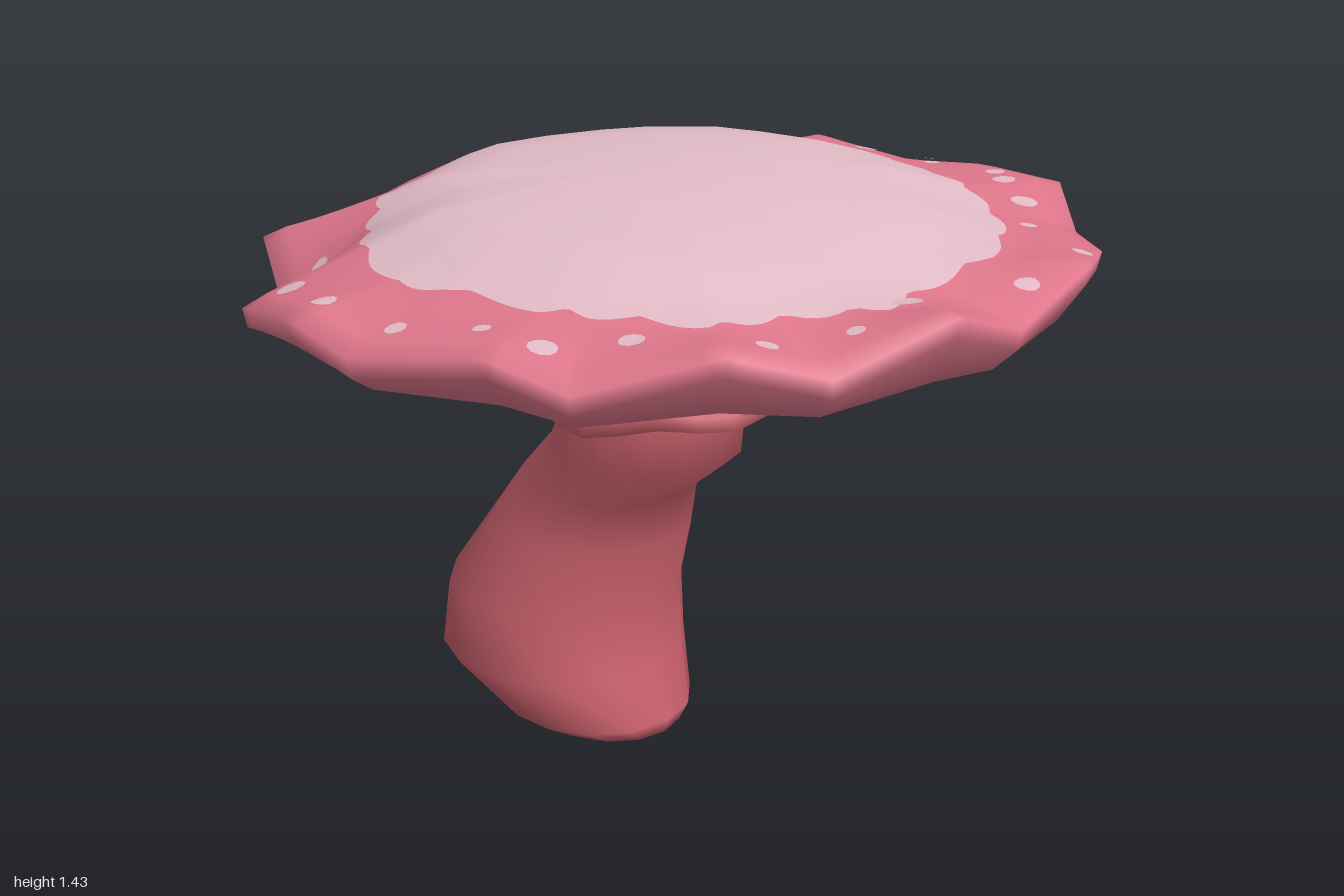
import * as THREE from 'three';

const stemPink = new THREE.MeshStandardMaterial({ color: 0xc9606b });
stemPink.name = 'stem pink';
const capPink = new THREE.MeshStandardMaterial({ color: 0xe0778c });
capPink.name = 'cap pink';
const palePink = new THREE.MeshStandardMaterial({ color: 0xe3bcc7 });
palePink.name = 'pale pink';

// Cap rim corners, clockwise from the back: x, height, z, where the pale centre ends
const RIM = [
  [0, 1.14, -1, 0.66], [0.24, 1.18, -0.93, 0.69], [0.47, 1.14, -0.82, 0.71], [0.65, 1.23, -0.7, 0.73],
  [0.85, 1.19, -0.47, 0.73], [0.92, 1.26, -0.27, 0.74], [0.98, 1.22, 0, 0.74], [0.92, 1.28, 0.26, 0.75],
  [0.86, 1.3, 0.49, 0.74], [0.66, 1.26, 0.67, 0.79], [0.5, 1.29, 0.84, 0.78], [0.3, 1.33, 0.94, 0.77],
  [0, 1.27, 0.97, 0.77], [-0.25, 1.37, 0.99, 0.77], [-0.48, 1.27, 0.86, 0.76], [-0.67, 1.34, 0.74, 0.76],
  [-0.85, 1.25, 0.5, 0.73], [-0.91, 1.3, 0.33, 0.73], [-0.98, 1.24, 0, 0.72], [-0.96, 1.27, -0.2, 0.75],
  [-0.85, 1.2, -0.49, 0.72], [-0.6, 1.07, -0.65, 0.77], [-0.49, 1.2, -0.85, 0.69], [-0.26, 1.15, -0.91, 0.69],
];
const SUB = 8;
const lerp = THREE.MathUtils.lerp;

// Rim values at a fractional corner index
function rimAt(u) {
  const i = Math.floor(u) % RIM.length;
  const a = RIM[i], b = RIM[(i + 1) % RIM.length];
  return a.map((v, k) => lerp(v, b[k], u - Math.floor(u)));
}

// Height of the cap's upper surface at fraction f of the way to the rim
function topHeight(f, rim) {
  const edge = 1.3 + 0.02 * rim[2];
  const knots = [[0, 1.43], [0.3, 1.416], [0.55, 1.38], [0.78, edge], [0.94, lerp(edge, rim[1], 0.8) + 0.012], [1, rim[1]]];
  for (let i = 1; i < knots.length; i++) {
    const [f0, y0] = knots[i - 1], [f1, y1] = knots[i];
    if (f <= f1) return lerp(y0, y1, (f - f0) / (f1 - f0));
  }
  return rim[1];
}

// Skin a list of closed rings, top to bottom; bands may carry different materials
function loft(rings, bandMaterial) {
  const n = rings[0].length, index = [];
  const geo = new THREE.BufferGeometry();
  geo.setAttribute('position', new THREE.Float32BufferAttribute(rings.flat(2), 3));
  for (let i = 0; i < rings.length - 1; i++) {
    for (let j = 0; j < n; j++) {
      const a = i * n + j, b = i * n + (j + 1) % n;
      index.push(a, b, a + n, b, b + n, a + n);
    }
    if (bandMaterial) geo.addGroup(i * n * 6, n * 6, bandMaterial(i));
  }
  geo.setIndex(index);
  geo.computeVertexNormals();
  return geo;
}

function ring(n, fn) {
  return Array.from({ length: n }, (_, j) => fn(j));
}

function oval(n, y, cx, rx, cz, rz) {
  return ring(n, (j) => {
    const t = (j / n) * Math.PI * 2;
    return [cx + rx * Math.sin(t), typeof y === 'function' ? y(t) : y, cz - rz * Math.cos(t)];
  });
}

function makeCap() {
  const n = RIM.length * SUB;
  const top = (fraction) => ring(n, (j) => {
    const r = rimAt(j / SUB), f = fraction(r, j);
    return [r[0] * f, topHeight(f, r), r[2] * f];
  });
  const under = (f, height) => ring(n, (j) => {
    const r = rimAt(j / SUB);
    return [r[0] * f, height(r[1]), r[2] * f];
  });
  const rings = [
    top(() => 0), top(() => 0.15), top(() => 0.3), top(() => 0.45), top(() => 0.55), top(() => 0.64),
    // scalloped edge of the pale centre
    top((r, j) => r[3] - 0.012 + 0.026 * Math.abs(Math.sin(j * 0.42 + Math.sin(j * 0.11)))),
    top(() => 0.86), top(() => 0.94), top(() => 1),
    // underside
    under(0.99, (y) => y - 0.045),
    under(0.93, (y) => lerp(y - 0.08, 1.15, 0.55)),
    under(0.36, (y) => 1.135 + (y - 1.2) * 0.3),
    under(0.1, () => 1.13),
  ];
  const cap = new THREE.Mesh(loft(rings, (i) => (i < 6 || i === 12 ? 1 : 0)), [capPink, palePink]);
  cap.name = 'cap';
  return cap;
}

const SPOTS = [
  [-0.36, -0.78], [-0.16, -0.85], [0.11, -0.78], [0.3, -0.72], [0.53, -0.66], [0.76, -0.29], [0.83, -0.07],
  [0.9, 0.09], [0.78, 0.17], [0.79, 0.35], [0.74, 0.41], [0.65, 0.53], [0.49, 0.65], [0.37, 0.87], [0.13, 0.89],
  [-0.15, 0.79], [-0.35, 0.81], [-0.53, 0.73], [-0.66, 0.49], [-0.79, 0.37], [-0.8, 0.21], [-0.87, 0.03],
  [-0.87, -0.19], [-0.8, -0.38], [-0.66, -0.54], [-0.53, -0.61],
];

// Height of the cap above any ground point
function capHeight(x, z) {
  for (let i = 0; i < RIM.length; i++) {
    const a = RIM[i], b = RIM[(i + 1) % RIM.length];
    const d = a[0] * b[2] - a[2] * b[0];
    const s = (x * b[2] - z * b[0]) / d, t = (a[0] * z - a[2] * x) / d;
    if (s >= 0 && t >= 0) return topHeight(s + t, rimAt(i + t / (s + t)));
  }
  return 1.3;
}

// Thin pale dots that follow the cap surface
function makeSpots() {
  const group = new THREE.Group();
  group.name = 'capSpots';
  SPOTS.forEach(([x, z], k) => {
    const geo = new THREE.CircleGeometry(0.02 + 0.004 * (k % 4), 10).rotateX(-Math.PI / 2).translate(x, 0, z);
    const p = geo.attributes.position;
    for (let i = 0; i < p.count; i++) p.setY(i, capHeight(p.getX(i), p.getZ(i)) + 0.007);
    geo.computeVertexNormals();
    const spot = new THREE.Mesh(geo, palePink);
    spot.name = 'spot';
    group.add(spot);
  });
  return group;
}

// Bent stem: height, centre x, radius x, centre z, radius z
function makeStem() {
  const sections = [
    [1.15, 0.01, 0.18, 0.01, 0.17], [1, 0, 0.2, 0, 0.2], [0.87, 0, 0.22, -0.035, 0.215],
    [0.75, -0.02, 0.23, -0.055, 0.235], [0.63, -0.005, 0.215, -0.185, 0.22], [0.5, 0, 0.25, -0.25, 0.25],
    [0.32, -0.015, 0.295, -0.33, 0.29], [0.16, -0.03, 0.305, -0.325, 0.305], [0.035, -0.035, 0.235, -0.21, 0.24],
    [0, -0.035, 0.17, -0.165, 0.185], [0, -0.035, 0.001, -0.165, 0.001],
  ];
  const stem = new THREE.Mesh(loft(sections.map((s) => oval(14, ...s))), stemPink);
  stem.name = 'stem';
  return stem;
}

// Flared collar with a wavy hem, lower at the back
function makeCollar() {
  const hem = (t) => 0.865 - 0.035 * Math.cos(t) + 0.014 * Math.sin(t * 5);
  const rings = [
    oval(20, 1.15, 0.015, 0.18, 0.01, 0.17),
    oval(20, 1.1, 0.02, 0.215, 0.005, 0.2),
    oval(20, 1.0, 0.015, 0.255, 0, 0.24),
    oval(20, (t) => hem(t) + 0.03, 0.005, 0.28, -0.005, 0.285),
    oval(20, hem, 0.005, 0.29, -0.01, 0.305),
    oval(20, (t) => hem(t) - 0.008, 0.005, 0.262, -0.01, 0.272),
    oval(20, 0.98, 0.005, 0.19, 0, 0.19),
  ];
  const collar = new THREE.Mesh(loft(rings), stemPink);
  collar.name = 'collar';
  return collar;
}

export function createModel() {
  const model = new THREE.Group();
  model.name = 'mushroom';
  model.add(makeStem(), makeCollar(), makeCap(), makeSpots());
  return model;
}
